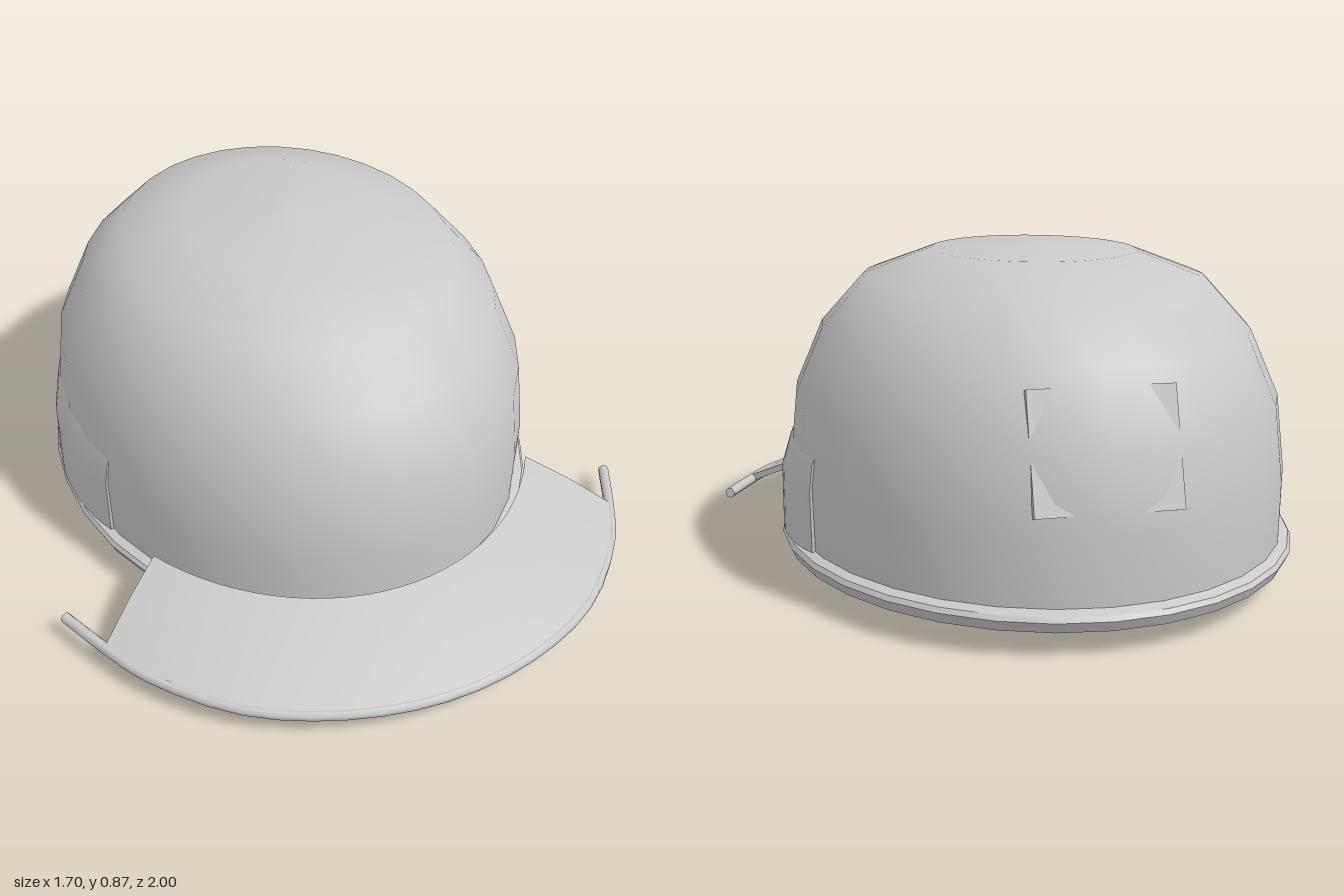
import * as THREE from 'three';
import { toCreasedNormals } from 'three/addons/utils/BufferGeometryUtils.js';

const CZ = -0.153;   // centre of the oval shell
const OVAL = 0.828;  // width of the oval relative to its depth
const grey = new THREE.MeshStandardMaterial({ color: 0xcacaca, side: THREE.DoubleSide });
grey.name = 'light grey';

function add(group, name, geometry) {
  const mesh = new THREE.Mesh(geometry, grey);
  mesh.name = name;
  group.add(mesh);
  return mesh;
}

// Skin over a row of closed rings; ends are closed with a fan
function loft(rings, crease = 0.9) {
  const mid = (r) => r.reduce((a, p) => a.add(p), new THREE.Vector3()).divideScalar(r.length);
  const rows = [rings[0].map(() => mid(rings[0])), ...rings, rings[0].map(() => mid(rings.at(-1)))];
  const n = rings[0].length, index = [];
  for (let i = 0; i < rows.length - 1; i++) {
    for (let j = 0; j < n; j++) {
      const a = i * n + j, b = i * n + (j + 1) % n;
      index.push(a, a + n, b, b, a + n, b + n);
    }
  }
  const g = new THREE.BufferGeometry().setFromPoints(rows.flat());
  g.setIndex(index);
  return toCreasedNormals(g, crease);
}

// Oval turned part from [radius, height] pairs
function ovalLathe(profile, crease) {
  let g = new THREE.LatheGeometry(profile.map(([r, y]) => new THREE.Vector2(r, y)), 32);
  if (crease) g = toCreasedNormals(g, crease);
  return g.scale(OVAL, 1, 1).translate(0, 0, CZ);
}

// Rounded band swept along a path, kept level
function band(curve, steps, width, height) {
  const rings = [];
  for (let i = 0; i <= steps; i++) {
    const p = curve.getPoint(i / steps), t = curve.getTangent(i / steps);
    const side = new THREE.Vector3(t.z, 0, -t.x).normalize();
    rings.push(Array.from({ length: 8 }, (_, j) => {
      const a = (j + 0.5) * Math.PI / 4;
      const q = p.clone().addScaledVector(side, Math.cos(a) * width * 0.54);
      q.y += Math.sin(a) * height * 0.54;
      return q;
    }));
  }
  return loft(rings);
}

export function createModel() {
  const model = new THREE.Group();
  model.name = 'helmet';

  // Outer shell, inner lining with a flat ceiling, and rim
  add(model, 'shell', ovalLathe([[0.81, 0.09], [0.815, 0.28], [0.79, 0.48], [0.7, 0.655],
    [0.56, 0.785], [0.335, 0.856], [0, 0.872]]));
  add(model, 'lining', ovalLathe([[0.785, 0.085], [0.79, 0.28], [0.755, 0.48], [0.655, 0.665], [0, 0.67]], 0.8));
  add(model, 'rim', ovalLathe([[0.785, 0.085], [0.805, 0.062], [0.832, 0.064], [0.847, 0.092],
    [0.838, 0.104], [0.805, 0.115], [0.785, 0.085]], 0.6));

  // Pads on both sides, swelling out of the shell and flush at their ends
  for (const side of [-1, 1]) {
    const rings = [];
    for (let i = 0; i <= 12; i++) {
      const t = i / 6 - 1;
      const z = -0.145 + 0.265 * t;
      const k = Math.sqrt(1 - ((z - CZ) / 0.82) ** 2);
      const swell = 1 - t * t;
      rings.push([[0.66, 0.1, 0], [0.676, 0.105, 0.022], [0.678, 0.27, 0.019], [0.67, 0.34, 0.004], [0.66, 0.365, 0]]
        .map(([x, y, out]) => new THREE.Vector3(side * (x * k + out * swell), y, z)));
    }
    add(model, side > 0 ? 'leftPad' : 'rightPad', loft(rings));
  }

  // Visor edge, mirrored from one half
  const half = [[0.835, 0.36], [0.763, 0.51], [0.685, 0.645], [0.495, 0.836], [0.257, 0.946]];
  const edge = new THREE.CatmullRomCurve3([
    ...half.map(([x, z]) => new THREE.Vector3(-x, 0.064, z)),
    new THREE.Vector3(0, 0.064, 0.985),
    ...half.toReversed().map(([x, z]) => new THREE.Vector3(x, 0.064, z)),
  ]);
  add(model, 'visorLip', band(edge, 30, 0.028, 0.028));

  // Sloping visor between the shell and the lip
  const rings = [];
  for (let i = 0; i <= 28; i++) {
    const u = i / 28;
    const a = (u * 2 - 1) * 0.955;
    const inner = new THREE.Vector3(0.7 * Math.sin(a), 0, CZ + 0.838 * Math.cos(a));
    const outer = edge.getPoint(0.1 + 0.8 * u);
    rings.push([[0, 0.172], [0.5, 0.132], [1, 0.077], [1, 0.056], [0.5, 0.112], [0, 0.155]].map(([t, y]) => {
      const p = inner.clone().lerp(outer, t);
      p.y = y;
      return p;
    }));
  }
  add(model, 'visor', loft(rings));

  // Flat plate at the back, its edges just showing through the shell
  const plate = add(model, 'backPlate', new THREE.BoxGeometry(0.36, 0.295, 0.02));
  plate.position.set(0, 0.47, -0.897);
  plate.rotation.x = Math.atan2(0.09, 0.28);

  // Chin straps, and the buckle on the left one
  for (const side of [-1, 1]) {
    const path = new THREE.CatmullRomCurve3([[0.62, 0.075, -0.12], [0.56, 0.042, -0.07], [0.45, 0.019, 0],
      [0.34, 0.022, 0.09], [0.25, 0.033, 0.17]].map(([x, y, z]) => new THREE.Vector3(side * x, y, z)));
    add(model, side > 0 ? 'leftStrap' : 'rightStrap', band(path, 14, 0.045, 0.032));
  }
  const buckle = add(model, 'buckle', new THREE.BoxGeometry(0.18, 0.026, 0.09));
  buckle.position.set(0.155, 0.038, 0.195);

  return model;
}
